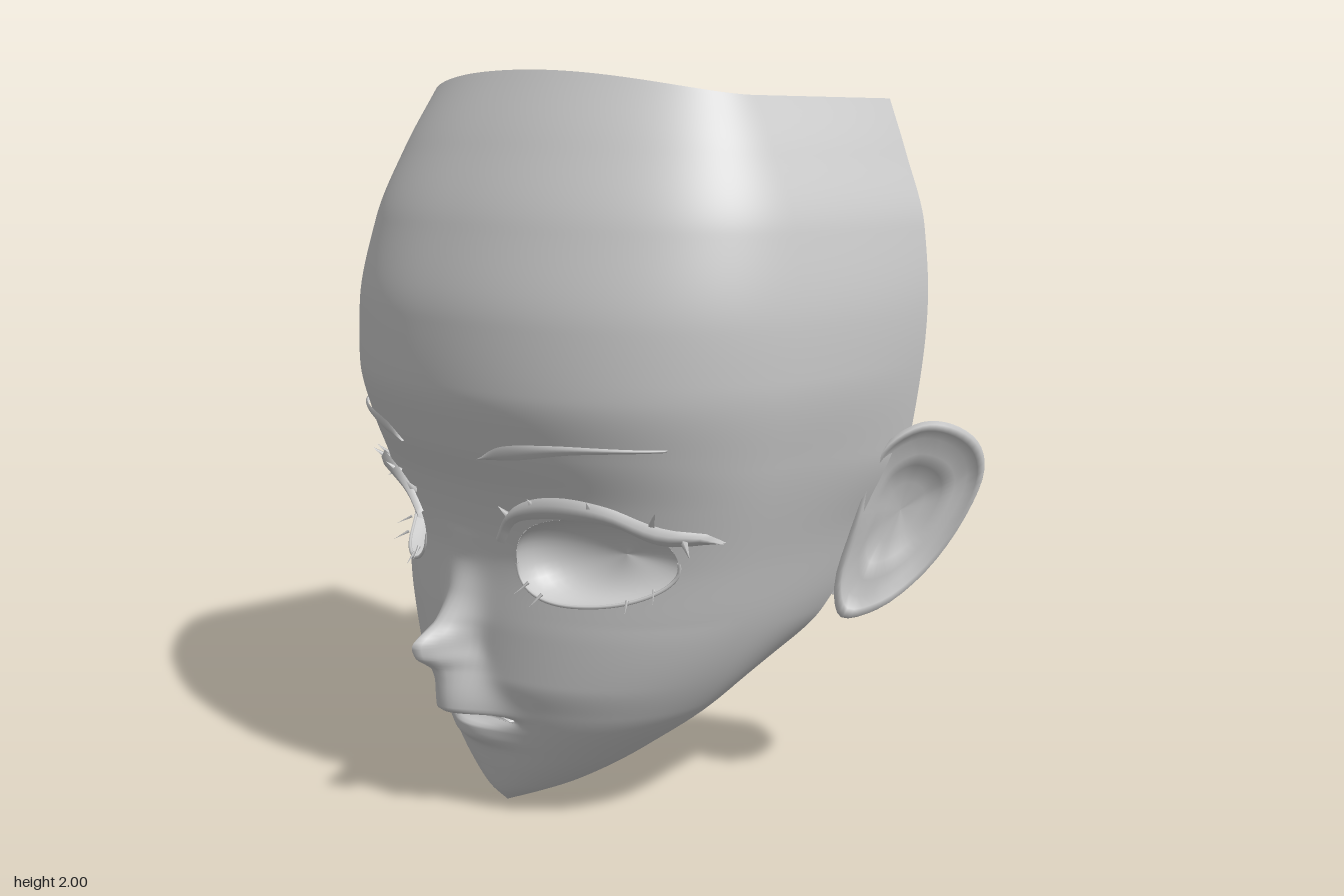
import * as THREE from 'three';

const material = new THREE.MeshStandardMaterial({ color: 0xcccccc, side: THREE.DoubleSide });
const V = (x, y, z) => new THREE.Vector3(x, y, z);

// Monotone cubic through [key, value] pairs
function profile(pts) {
  const n = pts.length;
  const d = pts.slice(1).map((p, i) => (p[1] - pts[i][1]) / (p[0] - pts[i][0]));
  const m = pts.map((p, i) => {
    if (i === 0) return d[0];
    if (i === n - 1) return d[n - 2];
    return d[i - 1] * d[i] <= 0 ? 0 : (2 * d[i - 1] * d[i]) / (d[i - 1] + d[i]);
  });
  return (y) => {
    if (y <= pts[0][0]) return pts[0][1];
    if (y >= pts[n - 1][0]) return pts[n - 1][1];
    let i = 0;
    while (y > pts[i + 1][0]) i++;
    const h = pts[i + 1][0] - pts[i][0], t = (y - pts[i][0]) / h, t2 = t * t, t3 = t2 * t;
    return pts[i][1] * (2 * t3 - 3 * t2 + 1) + h * m[i] * (t3 - 2 * t2 + t)
      + pts[i + 1][1] * (3 * t2 - 2 * t3) + h * m[i + 1] * (t3 - t2);
  };
}

// Head measurements by height
const width = profile([[0, 0], [0.03, 0.07], [0.07, 0.15], [0.185, 0.31], [0.33, 0.465], [0.54, 0.58], [0.76, 0.65],
  [1.02, 0.73], [1.24, 0.775], [1.37, 0.78], [1.6, 0.75], [1.79, 0.675], [1.93, 0.6]]);
const front = profile([[0, 0.33], [0.045, 0.37], [0.125, 0.4], [0.2, 0.42], [0.33, 0.455], [0.42, 0.475], [0.55, 0.475],
  [0.73, 0.465], [0.8, 0.472], [0.92, 0.5], [1.05, 0.55], [1.2, 0.585], [1.37, 0.575], [1.6, 0.51], [1.77, 0.42], [1.93, 0.315]]);
const midline = profile([[0, 0.33], [0.045, 0.37], [0.125, 0.405], [0.19, 0.43], [0.23, 0.47], [0.26, 0.474], [0.28, 0.45],
  [0.295, 0.46], [0.312, 0.55], [0.33, 0.553], [0.39, 0.56], [0.43, 0.575], [0.475, 0.63], [0.505, 0.64], [0.56, 0.56],
  [0.64, 0.5], [0.73, 0.47], [0.8, 0.474]]);
const spread = profile([[0.15, 0.12], [0.25, 0.11], [0.33, 0.1], [0.43, 0.06], [0.505, 0.045], [0.58, 0.06], [0.7, 0.07]]);
const middle = profile([[0, 0.33], [0.03, 0.27], [0.08, 0.2], [0.2, 0.12], [0.35, 0.05], [0.6, 0]]);
const edgeX = profile([[0.08, 0], [0.12, 0.1], [0.2, 0.2], [0.29, 0.3], [0.42, 0.45], [0.55, 0.55], [0.8, 0.63], [1, 0.7],
  [1.4, 0.75], [1.6, 0.73], [1.79, 0.66], [1.93, 0.6]]);
const edgeZ = profile([[0, 0.33], [0.08, 0], [0.12, -0.04], [0.2, -0.11], [0.29, -0.2], [0.42, -0.28], [0.55, -0.35],
  [0.8, -0.45], [1, -0.51], [1.93, -0.51]]);

// Depth of the face at (x, y), with nose and lips
function faceZ(x, y) {
  const w = Math.max(width(y), 1e-4), k = Math.min(Math.abs(x) / w, 1);
  let z = middle(y) + (front(y) - middle(y)) * Math.pow(1 - Math.pow(k, 2.15), 1 / 2.15);
  if (y < 0.8) z += (midline(y) - front(y)) * Math.exp(-((x / spread(y)) ** 2));
  z -= 0.02 * Math.exp(-(((y - 0.292) / 0.008) ** 2)) * Math.exp(-((x / 0.16) ** 8));
  return z;
}

// Eye opening: r < 1 inside
const EYE = { x: 0.397, y: 0.77, a: 0.19, b: 0.117, tilt: 0.1, p: 2.3 };
function eyeR(x, y) {
  const dx = Math.abs(x) - EYE.x, dy = y - EYE.y - EYE.tilt * dx;
  return Math.pow(Math.pow(Math.abs(dx) / EYE.a, EYE.p) + Math.pow(Math.abs(dy) / EYE.b, EYE.p), 1 / EYE.p);
}
function eyeRim(angle) {
  const c = Math.cos(angle), s = Math.sin(angle);
  const r = Math.pow(Math.abs(c) ** EYE.p + Math.abs(s) ** EYE.p, -1 / EYE.p);
  const dx = EYE.a * c * r;
  return [EYE.x + dx, EYE.y + EYE.b * s * r + EYE.tilt * dx];
}

// Smooth surface through rows of points
function surface(name, rows, closed = false, skip = () => false) {
  const n = rows[0].length, pos = [], idx = [];
  rows.forEach((row) => row.forEach((p) => pos.push(p.x, p.y, p.z)));
  const tri = (a, b, c) => { if (!skip(a, b, c)) idx.push(a, b, c); };
  for (let i = 0; i < rows.length - 1; i++) {
    for (let j = 0; j < (closed ? n : n - 1); j++) {
      const a = i * n + j, b = i * n + ((j + 1) % n);
      tri(a, b, a + n);
      tri(b, b + n, a + n);
    }
  }
  const g = new THREE.BufferGeometry();
  g.setAttribute('position', new THREE.Float32BufferAttribute(pos, 3));
  g.setIndex(idx);
  g.computeVertexNormals();
  const mesh = new THREE.Mesh(g, material);
  mesh.name = name;
  return mesh;
}

// Open head shell with eye openings
function headShell() {
  const ROWS = 200, FRONT = 56, BACK = 12, rows = [], inside = [];
  for (let i = 0; i <= ROWS; i++) {
    const y0 = 1.93 * Math.pow(i / ROWS, 1.4), row = [];
    for (let j = -FRONT - BACK; j <= FRONT + BACK; j++) {
      const s = Math.sign(j), k = Math.abs(j);
      let x, y = y0, z, hole = false;
      if (k <= FRONT) {
        x = s * width(y) * Math.sin((k / FRONT) * Math.PI / 2);
        const r = eyeR(x, y);
        if (r < 1) {
          hole = true;
          const dx = Math.abs(x) - EYE.x;
          x = s * (EYE.x + dx / r);
          y = EYE.y + (y - EYE.y) / r;
        }
        z = faceZ(x, y);
      } else {
        const t = (k - FRONT) / BACK;
        x = s * (width(y) + (edgeX(y) - width(y)) * t * t);
        z = middle(y) + (edgeZ(y) - middle(y)) * t;
      }
      const ramp = THREE.MathUtils.clamp((y - 1.45) / 0.48, 0, 1);
      if (z > 0) y += 0.07 * ramp * ramp * (z / 0.315) ** 2 * Math.min(1, 0.315 / front(y) + 0.0);
      row.push(V(x, y, z));
      inside.push(hole);
    }
    rows.push(row);
  }
  return surface('headShell', rows, false, (a, b, c) => inside[a] && inside[b] && inside[c]);
}

// Rounded socket behind each eye opening
function eyeSocket(s) {
  const rows = [], N = 40, M = 12, zc = faceZ(EYE.x, EYE.y);
  for (let i = 0; i <= M; i++) {
    const a = (i / M) * Math.PI / 2, t = Math.cos(a) + 0.16 * Math.sin(2 * a), row = [];
    for (let j = 0; j < N; j++) {
      const [x, y] = eyeRim((j / N) * Math.PI * 2);
      const flat = Math.cos(a);
      row.push(V(s * (EYE.x + (x - EYE.x) * t), EYE.y + (y - EYE.y) * t,
        zc + (faceZ(x, y) - zc) * flat - 0.15 * Math.sin(a)));
    }
    rows.push(row);
  }
  return surface('eyeSocket', rows, true);
}

// Band lying on the face between two edge curves, raised in its middle
function band(name, s, upper, lower, lift) {
  const sample = (pts) => new THREE.CatmullRomCurve3(pts.map(([x, y]) => V(x, y, 0))).getPoints(32);
  const a = sample(upper), b = sample(lower);
  const rows = [0, 0.33, 0.67, 1].map((t) => a.map((p, i) => {
    const q = p.clone().lerp(b[i], t);
    const x = Math.min(q.x, width(q.y) * 0.94);
    return V(s * q.x, q.y, faceZ(x, q.y) + 0.004 + lift * Math.sin(Math.PI * (0.1 + 0.8 * t)));
  }));
  return surface(name, rows);
}

// Single pointed lash from root to tip
function lash(s, x, y, dx, dy, size) {
  const g = new THREE.ConeGeometry(size, 1, 4);
  const root = V(s * x, y, faceZ(x, y) + 0.008), dir = V(s * dx, dy, 0.035);
  g.translate(0, 0.5, 0).scale(1, dir.length(), 1);
  const mesh = new THREE.Mesh(g, material);
  mesh.name = 'lash';
  mesh.position.copy(root);
  mesh.quaternion.setFromUnitVectors(V(0, 1, 0), dir.normalize());
  return mesh;
}

// Dished ear whose back narrows to a root at the head
function ear(s) {
  const rim = [[0.62, 0.535, -0.35], [0.69, 0.56, -0.42], [0.76, 0.66, -0.53], [0.83, 0.82, -0.61], [0.865, 0.95, -0.635],
    [0.865, 1.03, -0.6], [0.83, 1.08, -0.53], [0.78, 1.085, -0.47], [0.72, 1.03, -0.4], [0.68, 0.93, -0.365],
    [0.65, 0.8, -0.35], [0.61, 0.62, -0.33]].map((p) => V(...p));
  const pts = new THREE.CatmullRomCurve3(rim, true).getPoints(48).slice(0, 48);
  const c = V(0.735, 0.83, -0.46), n = V(0.75, 0, 0.66);
  const ring = (scale, depth) => pts.map((p) => c.clone().lerp(p, scale).addScaledVector(n, depth));
  const root = pts.map((p) => V(0.57 + 0.1 * (p.y - 0.6), 0.8 + (p.y - 0.83) * 0.72, -0.46 + (p.z + 0.47) * 0.75));
  const rings = [root, ring(0.86, -0.075), ring(0.97, -0.035), ring(1, -0.012), ring(0.97, 0.004), ring(0.9, 0),
    ring(0.8, -0.03), ring(0.64, -0.018), ring(0.5, -0.045), ring(0.3, -0.06), ring(0, -0.06)];
  rings.forEach((r) => r.forEach((p) => { p.x *= s; }));
  return surface('ear', rings, true);
}

// Hollow bag behind the lips
function mouthBag() {
  const rings = [[0.43, 0.15, 0.006], [0.37, 0.165, 0.06], [0.3, 0.18, 0.1], [0.2, 0.205, 0.125], [0.13, 0.21, 0.125],
    [0.07, 0.15, 0.09], [0.05, 0.07, 0.04], [0.045, 0, 0]];
  return surface('mouthBag', rings.map(([z, w, h]) => Array.from({ length: 32 }, (_, j) => {
    const a = (j / 32) * Math.PI * 2;
    return V(w * Math.cos(a), 0.29 + h * Math.sin(a), z);
  })), true);
}

export function createModel() {
  const model = new THREE.Group();
  model.name = 'head';
  model.add(headShell(), mouthBag());
  for (const s of [1, -1]) {
    const side = new THREE.Group();
    side.name = s > 0 ? 'leftFeatures' : 'rightFeatures';
    side.add(eyeSocket(s), ear(s));
    side.add(band('eyebrow', s, [[0.17, 1.025], [0.25, 1.065], [0.4, 1.085], [0.64, 1.087]],
      [[0.17, 1.023], [0.3, 1.037], [0.45, 1.065], [0.64, 1.081]], 0.012));
    side.add(band('upperEyelid', s,
      [[0.175, 0.82], [0.22, 0.885], [0.3, 0.93], [0.4, 0.947], [0.5, 0.93], [0.6, 0.875], [0.72, 0.855]],
      [[0.185, 0.795], [0.235, 0.857], [0.31, 0.88], [0.4, 0.888], [0.5, 0.878], [0.585, 0.83], [0.72, 0.852]], 0.03));
    // Thin lower lid following the opening
    const lid = Array.from({ length: 24 }, (_, i) => {
      const [x, y] = eyeRim(Math.PI * (1.02 + 0.96 * i / 23));
      return V(s * x, y, faceZ(x, y));
    });
    const lower = new THREE.Mesh(new THREE.TubeGeometry(new THREE.CatmullRomCurve3(lid), 40, 0.005, 6), material);
    lower.name = 'lowerEyelid';
    side.add(lower);
    for (const l of [[0.22, 0.87, -0.01, 0.035], [0.3, 0.91, 0.02, 0.03], [0.45, 0.92, 0.03, 0.03], [0.57, 0.89, 0.05, 0.04],
      [0.61, 0.845, 0.06, -0.03]]) side.add(lash(s, ...l, 0.011));
    for (const l of [[0.25, 0.7, -0.02, -0.03], [0.29, 0.675, -0.01, -0.03], [0.49, 0.68, 0.03, -0.025],
      [0.54, 0.71, 0.035, -0.025]]) side.add(lash(s, ...l, 0.005));
    model.add(side);
  }
  return model;
}
